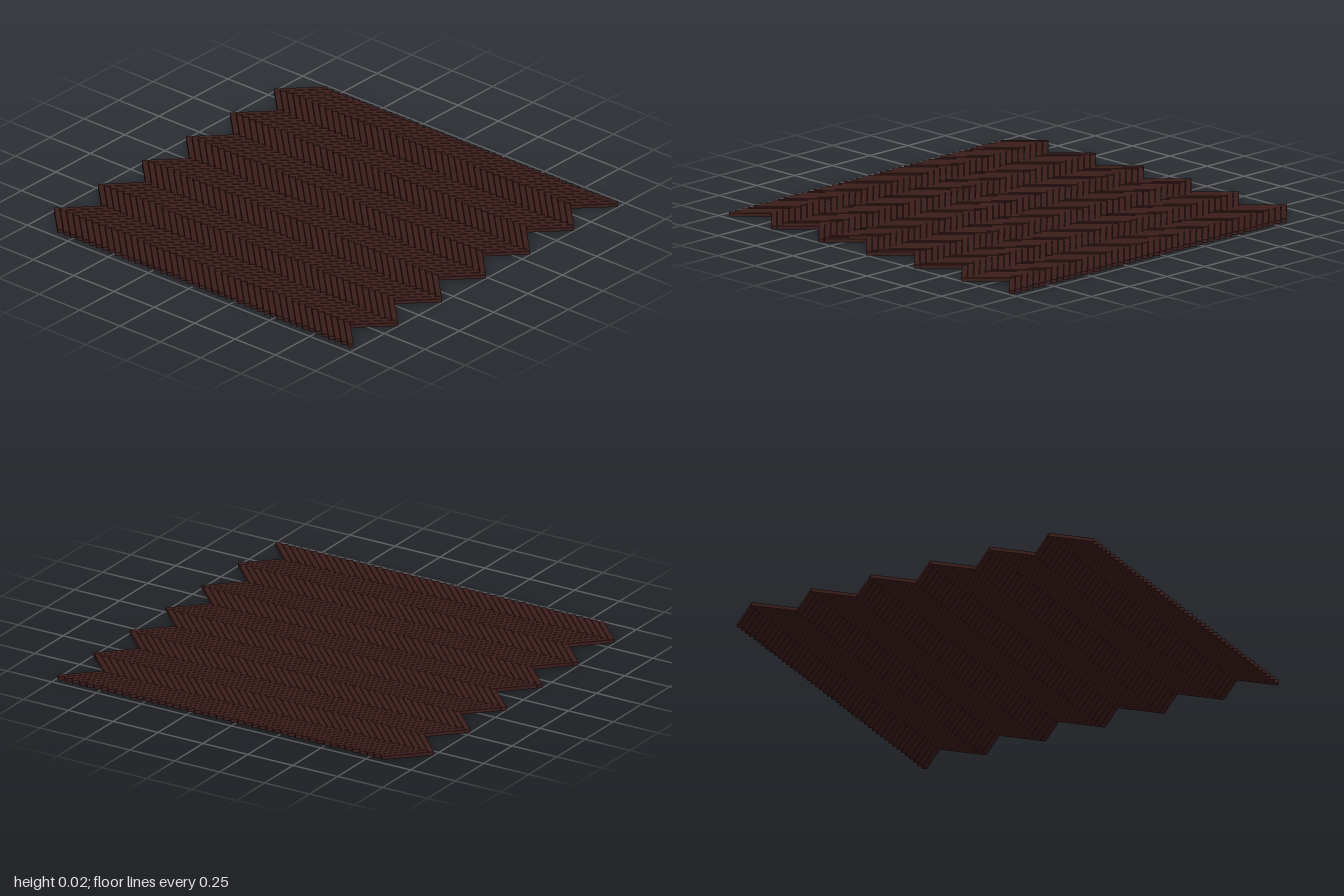
import * as THREE from 'three';
import { mergeGeometries } from 'three/addons/utils/BufferGeometryUtils.js';

const ROWS = 12, PER_ROW = 46;
const PITCH = 0.04;                 // plank spacing along a row
const WIDTH = PITCH / Math.SQRT2;
const LENGTH = WIDTH * 8;
const ROW_STEP = LENGTH / Math.SQRT2;
const THICK = 0.018, GAP = 0.0014, CHAMFER = 0.001;

// One plank lying along x, with chamfered top edges
function plankGeometry() {
  const l = LENGTH - GAP, w = WIDTH - GAP;
  const box = new THREE.BoxGeometry(l, THICK, w, 1, 2, 1);
  const p = box.attributes.position;
  for (let i = 0; i < p.count; i++) {
    const y = p.getY(i);
    if (Math.abs(y) < 1e-6) p.setY(i, THICK / 2 - CHAMFER);
    else if (y > 0) {
      p.setX(i, Math.sign(p.getX(i)) * (l / 2 - CHAMFER));
      p.setZ(i, Math.sign(p.getZ(i)) * (w / 2 - CHAMFER));
    }
  }
  const flat = box.toNonIndexed();
  flat.computeVertexNormals();
  return flat.translate(0, THICK / 2, 0);
}

export function createModel() {
  const floor = new THREE.Group();
  floor.name = 'herringboneFloor';
  const wood = new THREE.MeshStandardMaterial({ color: 0x3a1d1b });
  const plank = plankGeometry();

  // Rows lean alternately left and right, shifted half a pitch so they interlock
  for (let r = 0; r < ROWS; r++) {
    const lean = r % 2 ? -1 : 1;
    const planks = [];
    for (let i = 0; i < PER_ROW; i++) {
      const x = (i - (PER_ROW - 1) / 2) * PITCH + lean * PITCH / 4;
      planks.push(plank.clone().rotateY(lean * Math.PI / 4).translate(x, 0, 0));
    }
    const row = new THREE.Mesh(mergeGeometries(planks), wood);
    row.name = `plankRow${r + 1}`;
    row.position.z = (r - (ROWS - 1) / 2) * ROW_STEP;
    floor.add(row);
  }
  return floor;
}
